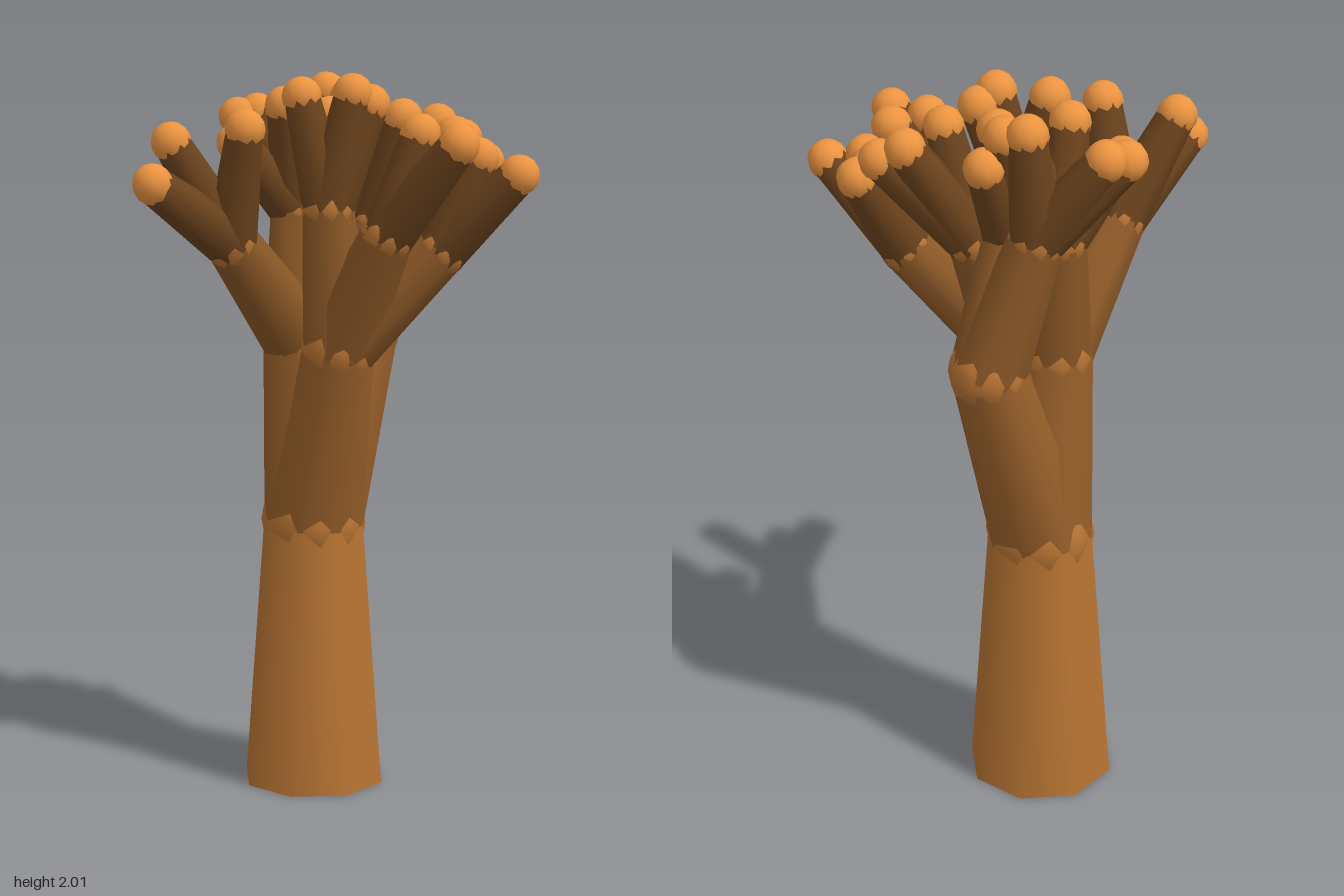
import * as THREE from 'three';

// one entry per branch generation: name and bark colour, darker towards the crown
const LEVELS = [
  ['trunk', 0xb87433],
  ['limb', 0x985f2a],
  ['branch', 0x8c5827],
  ['twig', 0x6c431d],
];
// radius at the start of each generation, and at the very tips
const RADII = [0.203, 0.146, 0.104, 0.073, 0.051];
const SIDES = 8;

// nested tree: [x, y, z, children], each entry is the end of one segment
const TREE = [0.08, 0.75, -0.15, [
  [0.08, 1.26, 0.0, [
    [0.14, 1.58, 0.17, [[0.25, 1.83, 0.355], [0.215, 1.85, 0.21], [0.32, 1.84, 0.21]]],
    [0.32, 1.53, 0.14, [[0.46, 1.74, 0.31], [0.47, 1.76, 0.11], [0.4, 1.78, 0.2], [0.41, 1.77, 0.15]]],
    [0.21, 1.59, -0.03, [[0.385, 1.86, 0], [0.43, 1.82, 0.06], [0.25, 1.88, 0.05]]],
    [0.05, 1.64, 0.0, [[0.1, 1.95, 0.045], [-0.01, 1.94, -0.04], [0.155, 1.92, 0.04]]],
  ]],
  [0.25, 1.28, -0.18, [
    [0.14, 1.65, -0.24, [[0.17, 1.94, -0.25], [-0.05, 1.87, -0.36], [0.01, 1.88, -0.36]]],
    [0.15, 1.62, -0.11, [[0.25, 1.84, -0.17], [0.2, 1.92, -0.18], [0.18, 1.91, -0.11]]],
  ]],
  [0.03, 1.27, -0.14, [
    [-0.22, 1.56, -0.04, [[-0.22, 1.865, 0.05], [-0.475, 1.73, 0.03], [-0.385, 1.83, -0.055]]],
    [0.05, 1.62, -0.2, [[-0.13, 1.81, -0.2], [-0.01, 1.91, -0.145], [0.12, 1.88, -0.13]]],
  ]],
]];

export function createModel() {
  const root = new THREE.Group();
  root.name = 'branchingTree';
  const paint = (color) => new THREE.MeshStandardMaterial({ color });
  const barks = LEVELS.map(([, color]) => paint(color));
  const jointBark = paint(0xb87433);
  const tipBark = paint(0xec9441);
  const up = new THREE.Vector3(0, 1, 0);

  function addMesh(parent, name, geometry, material) {
    const mesh = new THREE.Mesh(geometry, material);
    mesh.name = name;
    parent.add(mesh);
    return mesh;
  }

  function grow(start, [x, y, z, children], level, parent) {
    const end = new THREE.Vector3(x, y, z);
    const dir = end.clone().sub(start);
    const name = LEVELS[level][0];
    const group = new THREE.Group();
    group.name = name + 'Group';
    parent.add(group);

    // tapered segment, closed only at the foot of the trunk
    const tube = new THREE.CylinderGeometry(
      RADII[level + 1], RADII[level], dir.length(), SIDES, 1, level > 0);
    const segment = addMesh(group, name, tube, barks[level]);
    segment.position.copy(start).addScaledVector(dir, 0.5);
    segment.quaternion.setFromUnitVectors(up, dir.normalize());

    // rounded knuckle, or the ball at a tip
    const ball = children
      ? addMesh(group, 'joint', new THREE.SphereGeometry(RADII[level + 1] * 1.02, 10, 8), jointBark)
      : addMesh(group, 'tipBall', new THREE.SphereGeometry(0.055, 10, 8), tipBark);
    ball.position.copy(end);

    if (children) for (const child of children) grow(end, child, level + 1, group);
  }

  grow(new THREE.Vector3(0.08, 0, -0.15), TREE, 0, root);
  return root;
}
